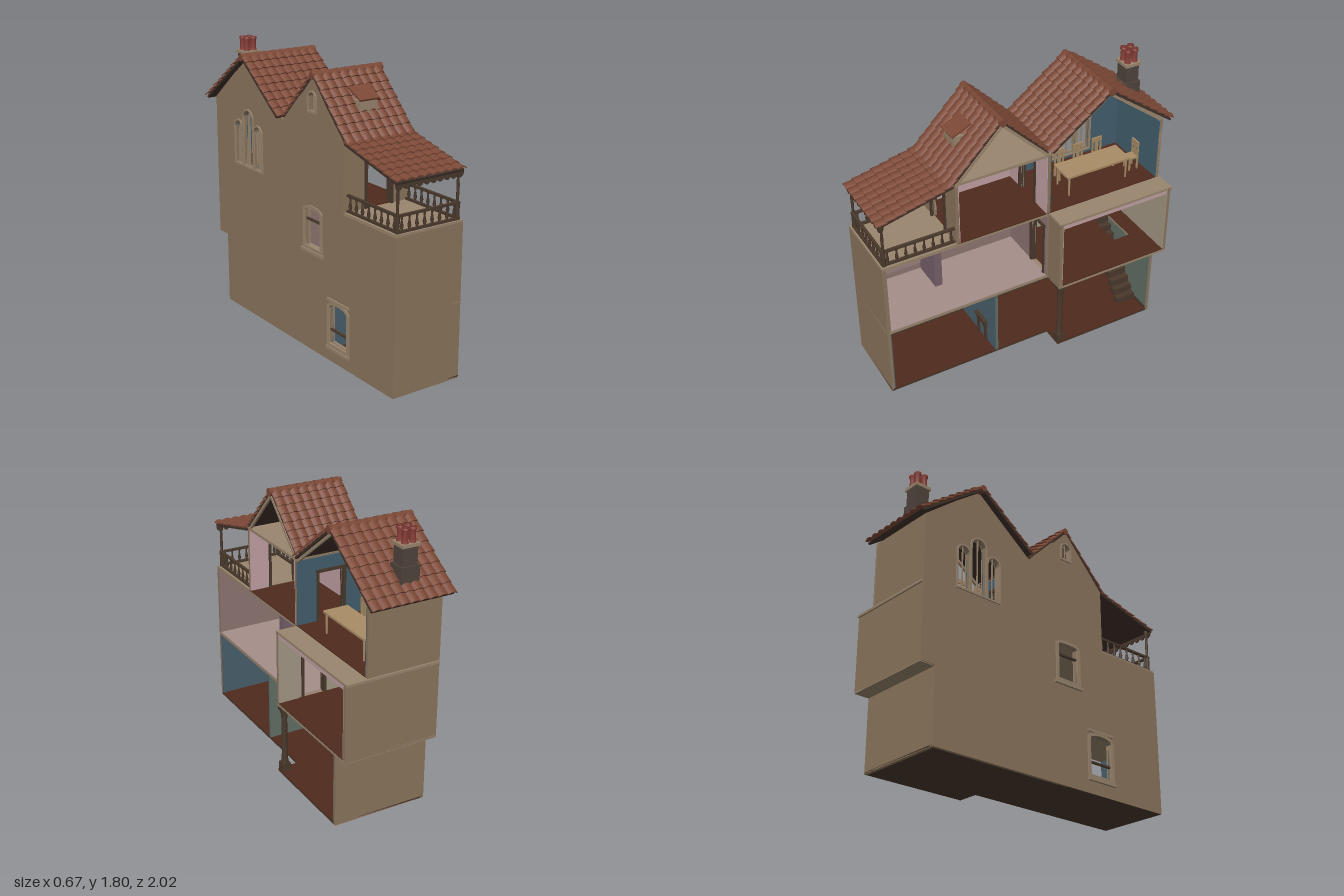
import * as THREE from 'three';

const C = { stone: 0x8c765d, trim: 0x9a866e, wood: 0x4a392c, floor: 0x4f2a1d, tile: 0x7b4836, deck: 0x40312a, blue: 0x4a606c,
  green: 0x627067, mauve: 0x8f7673, cream: 0xa59a87, pink: 0xc3a2a6, sky: 0x43606f, table: 0xa88c66, pot: 0x8a3f38, stack: 0x50443d };
const mats = {};
const mat = c => mats[c] ??= new THREE.MeshStandardMaterial({ color: c, side: THREE.DoubleSide });

export function createModel() {
  const root = new THREE.Group();
  const add = (name, geo, color, parent = root) => {
    const m = new THREE.Mesh(geo, mat(color));
    m.name = name;
    parent.add(m);
    return m;
  };
  // box given by its limits
  const box = (name, color, x0, x1, y0, y1, z0, z1, parent) => {
    const m = add(name, new THREE.BoxGeometry(x1 - x0, y1 - y0, z1 - z0), color, parent);
    m.position.set((x0 + x1) / 2, (y0 + y1) / 2, (z0 + z1) / 2);
    return m;
  };
  const poly = pts => new THREE.Shape(pts.map(p => new THREE.Vector2(...p)));
  const extrude = (shape, depth) => new THREE.ExtrudeGeometry(shape, { depth, bevelEnabled: false, curveSegments: 10 });
  // wall along z: outline in (z, y), from xTop - t to xTop
  const sideWall = (name, color, shape, xTop, t) =>
    add(name, extrude(shape, t).rotateY(-Math.PI / 2).translate(xTop, 0, 0), color);
  // wall along x with an optional doorway [x0, x1, top]
  const endWall = (name, color, x0, x1, y0, y1, z, t, door) => {
    const notch = door ? [[door[0], y0], [door[0], door[2]], [door[1], door[2]], [door[1], y0]] : [];
    return add(name, extrude(poly([[x0, y0], ...notch, [x1, y0], [x1, y1], [x0, y1]]), t).translate(0, 0, z), color);
  };
  // horizontal slab: outline in (x, z)
  const slab = (name, color, pts, yTop, t, hole) => {
    const s = poly(pts);
    if (hole) s.holes.push(poly(hole));
    return add(name, extrude(s, t).rotateX(Math.PI / 2).translate(0, yTop, 0), color);
  };
  const rect = (x0, x1, z0, z1) => [[x0, z0], [x1, z0], [x1, z1], [x0, z1]];

  // windows in the long wall: centre z, bottom, top, width, rise of arch
  const windows = [
    [0.455, 0.12, 0.38, 0.18, 0.03], [0.19, 0.68, 0.92, 0.16, 0.012], [0.19, 1.525, 1.635, 0.07, 0.035],
    [-0.422, 1.02, 1.3, 0.085, 0.0425], [-0.538, 1.02, 1.385, 0.105, 0.0525], [-0.652, 1.02, 1.3, 0.085, 0.0425]];
  const arch = ([c, y0, y1, w, rise], grow = 0, Type = THREE.Shape) => {
    const s = new Type(), h = w / 2 + grow;
    s.moveTo(c - h, y0 - grow);
    s.lineTo(c + h, y0 - grow);
    s.lineTo(c + h, y1 - rise);
    s.absellipse(c, y1 - rise, h, rise + grow, 0, Math.PI, false);
    s.closePath();
    return s;
  };
  const pierce = (shape, z0, z1, y0, y1) => {
    for (const w of windows)
      if (w[0] > z0 && w[0] < z1 && w[1] > y0 && w[2] < y1) shape.holes.push(arch(w, 0, THREE.Path));
    return shape;
  };

  // outer long wall with both gables
  sideWall('longWall', C.stone, pierce(poly([[0.99, 0], [0.99, 0.97], [0.5, 0.97], [0.5, 1.4], [0.19, 1.73], [-0.13, 1.41],
    [-0.54, 1.73], [-0.94, 1.41], [-0.94, 0.475], [-0.84, 0.475], [-0.84, 0]]), -1, 1, 0, 2), -0.275, 0.02);
  windows.forEach((w, i) => {
    const ring = arch(w, i < 2 ? 0.022 : 0.012);
    ring.holes.push(arch(w, 0, THREE.Path));
    sideWall('windowFrame', C.trim, ring, -0.258, 0.045);
    if (i < 2) {
      const bar = i ? 0.84 : 0.2;
      box('windowBar', C.wood, -0.29, -0.275, bar, bar + 0.012, w[0] - w[3] / 2, w[0] + w[3] / 2);
      box('windowSill', C.trim, -0.31, -0.25, w[1] - 0.04, w[1] - 0.02, w[0] - 0.115, w[0] + 0.115);
      if (!i) box('windowLintel', C.trim, -0.305, -0.255, 0.395, 0.412, w[0] - 0.11, w[0] + 0.11);
    } else box('windowMullion', C.trim, -0.288, -0.28, w[1], w[2], w[0] - 0.003, w[0] + 0.003);
  });

  // structural end walls and partitions
  const L = -0.29, R = 0.19, B = 0.33, hall = [0.01, 0.15, 0.86], upper = [-0.13, 0.04, 1.3];
  endWall('frontWall', C.stone, L, R, 0, 0.97, 0.97, 0.02);
  endWall('groundBackWall', C.stone, L, B, 0, 0.475, -0.84, 0.02);
  endWall('bayBackWall', C.stone, L, B, 0.475, 0.975, -0.94, 0.02);
  endWall('upperBackWall', C.stone, L, R, 0.97, 1.41, -0.94, 0.02);
  endWall('groundPartition', C.green, L, R, 0.01, 0.47, 0.24, 0.012);
  endWall('hallPartition', C.stone, L, R, 0.48, 0.97, -0.14, 0.02, hall);
  endWall('bayFrontWall', C.stone, R, B, 0.47, 0.975, -0.15, 0.02);
  endWall('upperPartition', C.stone, L, R, 0.97, 1.41, -0.135, 0.02, upper);
  endWall('balconyWall', C.stone, L, R, 0.97, 1.41, 0.485, 0.02, upper);
  for (const [d, y0, z] of [[hall, 0.48, -0.13], [upper, 0.975, -0.125], [upper, 0.975, 0.495]]) {
    const f = new THREE.Group();
    f.name = 'doorFrame';
    root.add(f);
    box('jamb', C.wood, d[0] - 0.018, d[0], y0, d[2], z - 0.022, z + 0.022, f);
    box('jamb', C.wood, d[1], d[1] + 0.018, y0, d[2], z - 0.022, z + 0.022, f);
    box('doorHead', C.wood, d[0] - 0.022, d[1] + 0.022, d[2], d[2] + 0.02, z - 0.024, z + 0.024, f);
  }

  // floor slabs
  const plan = back => [[L, 0.99], [R, 0.99], [R, -0.13], [B, -0.13], [B, back], [L, back]];
  const stairHole = rect(-0.2, 0.1, -0.815, -0.69);
  slab('groundSlab', C.wood, plan(-0.84), 0.012, 0.012);
  slab('groundFloor', C.floor, plan(-0.83), 0.016, 0.004);
  slab('middleSlab', C.trim, plan(-0.94), 0.488, 0.018, stairHole);
  slab('hallFloor', 0xa58e89, rect(L, R, -0.12, 0.97), 0.494, 0.006);
  slab('bayFloor', C.floor, rect(L, B, -0.92, -0.15), 0.494, 0.006, stairHole);
  slab('upperSlab', C.trim, plan(-0.95), 0.978, 0.016);
  slab('upperFloor', C.floor, rect(L, R, -0.92, 0.49), 0.984, 0.006);
  slab('atticSlab', C.trim, rect(L, R, -0.13, 0.5), 1.415, 0.018);
  box('bayBeam', C.pink, 0.31, 0.325, 0.932, 0.962, -0.93, -0.15);

  // painted room linings: long wall plus both ends
  const room = (name, color, z0, z1, y0, y1, x1, peak, door0, door1) => {
    const top = peak ? [[z1, y1], peak, [z0, y1]] : [[z1, y1], [z0, y1]];
    sideWall(name + 'Wall', color, pierce(poly([[z0, y0], [z1, y0], ...top]), z0, z1, y0, peak ? peak[1] : y1), -0.269, 0.006);
    endWall(name + 'BackEnd', color, L, x1, y0, y1, z0, 0.005, door0);
    endWall(name + 'FrontEnd', color, L, x1, y0, y1, z1 - 0.005, 0.005, door1);
  };
  room('parlour', C.blue, 0.252, 0.97, 0.012, 0.47, R);
  room('kitchen', C.green, -0.82, 0.24, 0.012, 0.47, R);
  endWall('kitchenBayEnd', C.green, R, B, 0.012, 0.47, -0.82, 0.005);
  room('hall', C.mauve, -0.12, 0.97, 0.488, 0.96, R, null, hall);
  room('bayRoom', C.cream, -0.92, -0.14, 0.488, 0.96, R, null, null, hall);
  endWall('bayRoomEnd', C.cream, R, B, 0.488, 0.96, -0.92, 0.005);
  endWall('bayRoomFront', C.cream, R, B, 0.488, 0.96, -0.155, 0.005);
  room('bedroom', C.pink, -0.115, 0.485, 0.98, 1.4, R, null, upper, upper);
  room('diningRoom', C.sky, -0.92, -0.135, 0.98, 1.4, R, [-0.54, 1.715], null, upper);
  sideWall('atticWall', 0x6e5a4b, pierce(poly([[-0.12, 1.415], [0.49, 1.415], [0.19, 1.72]]), -1, 1, 1.41, 1.75), -0.269, 0.006);
  box('skirting', C.wood, -0.27, -0.262, 0.012, 0.04, -0.82, 0.97);
  box('backSkirting', C.wood, L, B, 0.012, 0.04, -0.82, -0.81);
  box('pictureRail', C.wood, -0.27, -0.262, 0.94, 0.962, -0.12, 0.5);

  // fireplace
  const hearth = poly([[-0.04, 0.01], [0.08, 0.01], [0.08, 0.17], [-0.04, 0.17]]);
  hearth.holes.push(arch([0.02, 0.015, 0.13, 0.075, 0.035], 0, THREE.Path));
  add('fireplace', extrude(hearth, 0.02).translate(0, 0, 0.25), C.wood);
  box('mantel', C.wood, -0.05, 0.09, 0.165, 0.18, 0.25, 0.28);

  // staircase climbing toward the long wall
  for (let i = 0; i < 10; i++) {
    const x = 0.2 - i * 0.04, y = 0.012 + i * 0.047;
    box('stairStep', C.wood, x - 0.045, x, y, y + 0.047, -0.835, -0.68);
  }
  // hall alcove with ladder
  box('alcovePier', 0x77606a, L, -0.05, 0.49, 0.96, 0.5, 0.55);
  box('alcovePanel', 0x9a8382, -0.27, -0.262, 0.54, 0.955, 0.55, 0.93);
  for (const z of [0.81, 0.89]) box('ladderRail', C.wood, -0.25, -0.235, 0.494, 0.95, z - 0.006, z + 0.006);
  for (let i = 0; i < 9; i++) box('ladderRung', C.wood, -0.25, -0.235, 0.54 + i * 0.047, 0.548 + i * 0.047, 0.81, 0.89);

  // corner column under the bay
  const V = (x, y) => new THREE.Vector2(x, y);
  box('columnBase', C.wood, 0.27, 0.325, 0, 0.07, -0.187, -0.133);
  add('column', new THREE.LatheGeometry([V(0.025, 0.07), V(0.021, 0.1), V(0.018, 0.14), V(0.018, 0.38), V(0.022, 0.42), V(0.028, 0.45)], 16)
    .translate(0.298, 0, -0.16), C.wood);
  box('columnCapital', C.wood, 0.268, 0.327, 0.445, 0.472, -0.19, -0.13);

  // tiled slope from ridge [z, y] down to eave [z, y]
  const slope = (name, x0, x1, top, bot, rows, cols) => {
    const g = new THREE.Group(), run = bot[0] - top[0], drop = top[1] - bot[1], W = x1 - x0;
    const len = Math.hypot(run, drop), step = len / rows, up = [], down = [];
    g.name = name;
    g.position.set((x0 + x1) / 2, top[1], top[0]);
    g.rotation.set(Math.atan2(drop, Math.abs(run)), run < 0 ? Math.PI : 0, 0, 'YXZ');
    for (let i = 0; i <= cols * 6; i++) {
      const x = -W / 2 + W * i / (cols * 6), y = 0.011 * Math.abs(Math.sin(Math.PI * i / 6));
      up.push([x, y + 0.004]);
      down.unshift([x, y - 0.003]);
    }
    const geo = extrude(poly([...down, ...up].reverse()), step * 1.12);
    for (let r = 0; r < rows; r++) {
      const t = add('tileRow', geo, C.tile, g);
      t.position.set((r % 2) * 0.003, 0.003, r * step - step * 0.1);
      t.rotation.x = -0.13;
    }
    box('roofDeck', C.deck, -W / 2 + 0.005, W / 2 - 0.005, -0.014, 0, 0, len - 0.01, g);
    root.add(g);
  };
  slope('rearRoofFront', -0.34, 0.21, [-0.54, 1.735], [-0.13, 1.425], 8, 9);
  slope('rearRoofBack', -0.34, 0.21, [-0.54, 1.735], [-1.0, 1.4], 8, 9);
  slope('frontRoofFront', -0.3, 0.19, [0.19, 1.74], [0.53, 1.395], 8, 8);
  slope('frontRoofBack', -0.3, 0.19, [0.19, 1.74], [-0.13, 1.42], 8, 8);
  slope('balconyRoof', -0.3, 0.19, [0.51, 1.4], [1.0, 1.28], 8, 8);
  for (const [x0, x1, z, y, n] of [[-0.34, 0.21, -0.54, 1.73, 9], [-0.3, 0.2, 0.19, 1.735, 8]])
    for (let i = 0; i < n; i++) {
      const w = (x1 - x0) / n;
      add('ridgeTile', new THREE.CylinderGeometry(0.022, 0.026, w * 1.08, 10).rotateZ(Math.PI / 2), C.tile)
        .position.set(x0 + (i + 0.5) * w, y, z);
    }
  // barge boards on the open side
  for (const [z0, y0, z1, y1] of [[-0.54, 1.72, -0.13, 1.41], [-0.54, 1.72, -0.94, 1.415], [0.19, 1.725, 0.5, 1.405], [0.19, 1.725, -0.13, 1.41]])
    sideWall('bargeBoard', C.trim, poly([[z0, y0], [z1, y1], [z1, y1 - 0.025], [z0, y0 - 0.025]]), R, 0.015);
  box('rearCornerPost', C.trim, R - 0.012, R, 0.98, 1.41, -0.94, -0.92);

  // propped roof light
  box('roofLightGlass', C.trim, -0.115, 0.01, 1.515, 1.6, 0.3, 0.415);
  box('roofLightHatch', C.tile, -0.125, 0.018, 1.63, 1.642, 0.295, 0.435).rotation.x = 0.45;

  // chimney
  box('chimneyBase', C.stack, -0.155, -0.035, 1.45, 1.58, -0.91, -0.795);
  box('chimneyStack', C.stack, -0.145, -0.045, 1.58, 1.7, -0.9, -0.81);
  box('chimneyCap', C.trim, -0.153, -0.037, 1.69, 1.71, -0.91, -0.8);
  const pot = new THREE.LatheGeometry([V(0.022, 0), V(0.017, 0.02), V(0.017, 0.07), V(0.022, 0.075), V(0.022, 0.09), V(0.012, 0.09), V(0.012, 0.02)], 12);
  for (const x of [-0.12, -0.07]) for (const z of [-0.88, -0.83]) add('chimneyPot', pot, C.pot).position.set(x, 1.708, z);

  // balcony: rails, turned balusters, posts and fringe
  const baluster = new THREE.LatheGeometry([V(0.01, 0), V(0.006, 0.015), V(0.011, 0.035), V(0.005, 0.07), V(0.009, 0.1)], 8);
  const rail = (x0, z0, x1, z1, n) => {
    for (const y of [0.984, 1.078]) box('balconyRail', C.wood, x0 - 0.009, x1 + 0.009, y, y + 0.014, z0 - 0.009, z1 + 0.009);
    for (let i = 0; i < n; i++) {
      const t = (i + 0.5) / n;
      add('baluster', baluster, C.wood).position.set(x0 + (x1 - x0) * t, 0.985, z0 + (z1 - z0) * t);
    }
  };
  rail(-0.265, 0.97, 0.165, 0.97, 8);
  const post = new THREE.LatheGeometry([V(0.014, 0), V(0.014, 0.1), V(0.008, 0.12), V(0.01, 0.2), V(0.008, 0.25), V(0.015, 0.27), V(0.015, 0.3)], 10);
  const fringe = new THREE.Shape().moveTo(L, 1.285).lineTo(L, 1.255);
  for (let i = 0; i < 10; i++) fringe.quadraticCurveTo(L + 0.048 * (i + 0.5), 1.215, L + 0.048 * (i + 1), 1.255);
  fringe.lineTo(R, 1.285);
  add('fringe', extrude(fringe, 0.008).translate(0, 0, 0.975), C.wood);
  for (const x of [-0.265, 0.165]) {
    rail(x, 0.5, x, 0.97, 8);
    add('balconyPost', post, C.wood).position.set(x, 0.98, 0.965);
  }
  slab('balconyFloor', C.trim, rect(L, R, 0.5, 0.99), 0.984, 0.006);

  // dining table and chairs
  box('tableTop', C.table, -0.06, 0.11, 1.118, 1.132, -0.77, -0.31);
  for (const x of [-0.045, 0.095]) for (const z of [-0.75, -0.33])
    add('tableLeg', new THREE.CylinderGeometry(0.008, 0.006, 0.135, 8), C.table).position.set(x, 1.05, z);
  const chair = (x, z, turn) => {
    const g = new THREE.Group();
    g.name = 'chair';
    box('chairSeat', C.table, -0.035, 0.035, 1.065, 1.075, -0.035, 0.035, g);
    for (const sx of [-0.03, 0.03]) {
      box('chairFrontLeg', C.table, sx - 0.005, sx + 0.005, 0.984, 1.065, 0.024, 0.034, g);
      box('chairBackPost', C.table, sx - 0.005, sx + 0.005, 0.984, 1.17, -0.034, -0.024, g);
    }
    box('chairSplat', C.table, -0.012, 0.012, 1.075, 1.165, -0.032, -0.026, g);
    box('chairTopRail', C.table, -0.037, 0.037, 1.155, 1.182, -0.034, -0.024, g);
    g.position.set(x, 0, z);
    g.rotation.y = turn;
    root.add(g);
  };
  for (const z of [-0.39, -0.53, -0.67]) chair(-0.1, z, Math.PI / 2);
  chair(0.02, -0.84, 0);

  return root;
}
